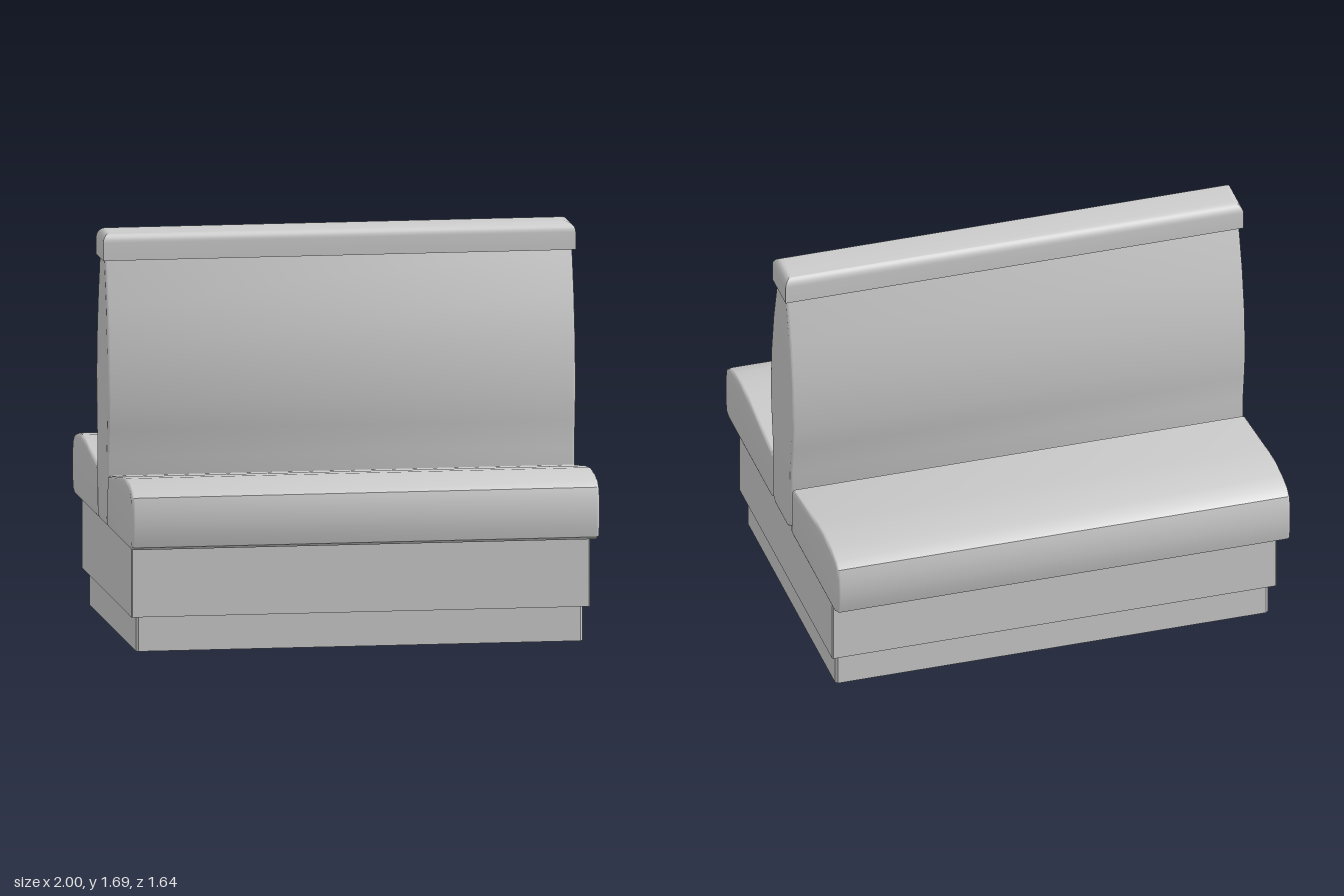
import * as THREE from 'three';
import { toCreasedNormals } from 'three/addons/utils/BufferGeometryUtils.js';

const material = new THREE.MeshStandardMaterial({ color: 0xcccccc });

function addMesh(group, name, geometry, crease = 0.6) {
  const mesh = new THREE.Mesh(toCreasedNormals(geometry, crease), material);
  mesh.name = name;
  group.add(mesh);
  return mesh;
}

const shapeFrom = (points) => new THREE.Shape(points.map(([u, v]) => new THREE.Vector2(u, v)));

// Side profile of [z, y] points swept along x, with softly rounded end edges
function sweep(points, width, bevel) {
  const geometry = new THREE.ExtrudeGeometry(shapeFrom(points), {
    depth: width - 2 * bevel, bevelThickness: bevel, bevelSize: bevel,
    bevelOffset: -bevel, bevelSegments: 3,
  });
  geometry.translate(0, 0, bevel - width / 2);
  return geometry.rotateY(-Math.PI / 2);
}

// Upright box with slightly chamfered vertical edges
function plinthBox(x, z, y0, y1, c) {
  const shape = shapeFrom([
    [-x + c, -z], [x - c, -z], [x, -z + c], [x, z - c],
    [x - c, z], [-x + c, z], [-x, z - c], [-x, -z + c],
  ]);
  const geometry = new THREE.ExtrudeGeometry(shape, { depth: y1 - y0, bevelEnabled: false });
  return geometry.rotateX(-Math.PI / 2).translate(0, y0, 0);
}

// Top rail: mitred block, rounded above and flat underneath
function railGeometry(x, z, y0, y1, r) {
  const geometry = new THREE.ExtrudeGeometry(shapeFrom([[-x, -z], [x, -z], [x, z], [-x, z]]), {
    depth: y1 - y0 - r, bevelThickness: r, bevelSize: r, bevelOffset: -r, bevelSegments: 6,
  });
  geometry.rotateX(-Math.PI / 2);
  const position = geometry.attributes.position;
  for (let i = 0; i < position.count; i++) position.setY(i, Math.max(0, position.getY(i)));
  return geometry.translate(0, y0, 0);
}

export function createModel() {
  const model = new THREE.Group();
  model.name = 'doubleBoothBench';

  // Base
  addMesh(model, 'plinth', plinthBox(0.945, 0.64, 0, 0.15, 0.01));
  addMesh(model, 'baseBox', plinthBox(0.97, 0.675, 0.15, 0.45, 0.004));

  // Seat cushions, one on each side
  const seat = [
    [0.145, 0.45], [0.77, 0.45], [0.806, 0.465], [0.817, 0.51], [0.82, 0.56],
    [0.818, 0.63], [0.805, 0.675], [0.77, 0.702], [0.70, 0.718], [0.60, 0.727],
    [0.50, 0.719], [0.40, 0.704], [0.155, 0.67], [0.142, 0.655], [0.138, 0.46],
  ];
  addMesh(model, 'frontSeat', sweep(seat, 1.98, 0.014));
  addMesh(model, 'backSeat', sweep(seat, 1.98, 0.014)).rotation.y = Math.PI;

  // Shared padded backrest
  const half = [
    [0.09, 0.452], [0.117, 0.468], [0.128, 0.50], [0.13, 0.74], [0.147, 0.86],
    [0.16, 0.975], [0.152, 1.18], [0.118, 1.38], [0.065, 1.575],
  ];
  const mirrored = half.map(([z, y]) => [-z, y]).reverse();
  addMesh(model, 'backrest', sweep([...half, ...mirrored], 1.98, 0.01));

  // Cap along the top of the backrest
  addMesh(model, 'topRail', railGeometry(1, 0.097, 1.57, 1.687, 0.042));

  return model;
}
